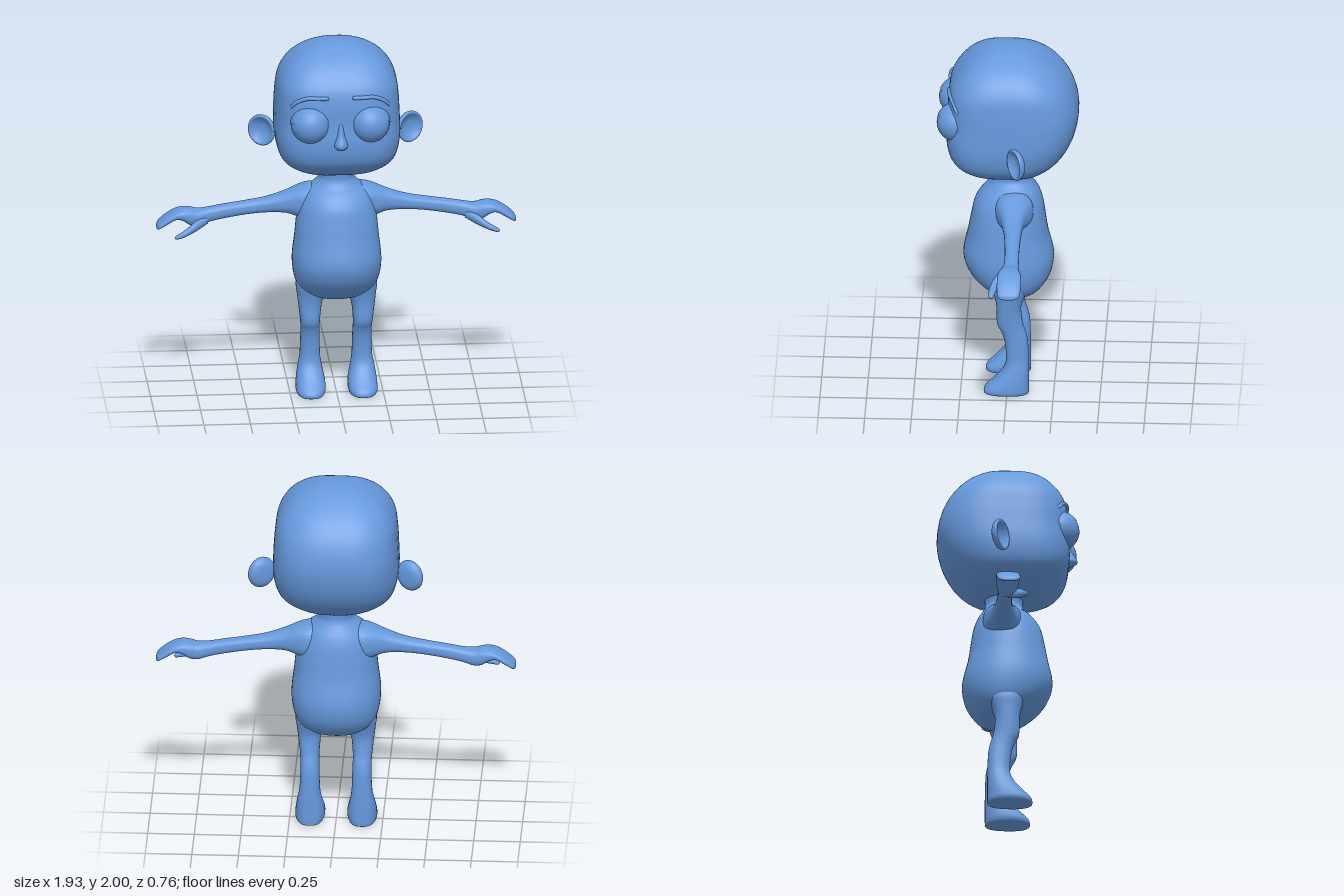
import * as THREE from 'three';

const skin = new THREE.MeshStandardMaterial({ color: 0x6699dd });
skin.name = 'blue skin';

// Catmull-Rom blend of four numbers
function blend(p0, p1, p2, p3, t) {
  return 0.5 * (2 * p1 + (p2 - p0) * t + (2 * p0 - 5 * p1 + 4 * p2 - p3) * t * t
    + (3 * p1 - p0 - 3 * p2 + p3) * t * t * t);
}

// Smooth skin through rows [t, a0, a1, b0, b1]: a superellipse spanning a0..a1 and b0..b1 at height t.
// axis 'y': t = y, a = x, b = z.  axis 'x': t = x, a = z, b = y.
function loft(rows, axis, nFront = 2.2, nBack = nFront, seg = 40, sub = 4) {
  const pos = [], index = [], rings = (rows.length - 1) * sub + 1;
  const row = i => rows[Math.max(0, Math.min(rows.length - 1, i))];
  for (let r = 0; r < rings; r++) {
    const i = Math.min(Math.floor(r / sub), rows.length - 2), f = r / sub - i;
    const [t, a0, a1, b0, b1] = rows[0].map((_, k) =>
      blend(row(i - 1)[k], row(i)[k], row(i + 1)[k], row(i + 2)[k], f));
    for (let s = 0; s < seg; s++) {
      const th = s / seg * Math.PI * 2, c = Math.cos(th), d = Math.sin(th);
      const e = 2 / (d >= 0 ? nFront : nBack);
      const a = (a0 + a1) / 2 + (a1 - a0) / 2 * Math.sign(c) * Math.abs(c) ** e;
      const b = (b0 + b1) / 2 + (b1 - b0) / 2 * Math.sign(d) * Math.abs(d) ** e;
      if (axis === 'y') pos.push(a, t, b); else pos.push(t, b, a);
      if (r < rings - 1) {
        const n = (s + 1) % seg, p = r * seg, q = p + seg;
        index.push(p + s, q + s, p + n, q + s, q + n, p + n);
      }
    }
  }
  const g = new THREE.BufferGeometry();
  g.setAttribute('position', new THREE.Float32BufferAttribute(pos, 3));
  g.setIndex(index);
  g.computeVertexNormals();
  return g;
}

// Mirrored copy across x = 0 with the corner order flipped back
function mirrored(geometry) {
  const g = geometry.clone().scale(-1, 1, 1), ix = g.index.array;
  for (let i = 0; i < ix.length; i += 3) [ix[i], ix[i + 1]] = [ix[i + 1], ix[i]];
  g.computeVertexNormals();
  return g;
}

export function createModel() {
  const model = new THREE.Group();
  model.name = 'bald cartoon child';
  const add = (name, geometry) => {
    const m = new THREE.Mesh(geometry, skin);
    m.name = name;
    model.add(m);
  };
  const pair = (name, geometry) => {
    add('left' + name, geometry);
    add('right' + name, mirrored(geometry));
  };
  // Sections symmetric in x: [y, half width, back z, front z]
  const sym = rows => rows.map(([y, w, b, f]) => [y, -w, w, b, f]);

  // Big rounded-box head
  add('head', loft(sym([
    [1.25, 0, -0.02, -0.02], [1.255, 0.08, -0.1, 0.07], [1.27, 0.14, -0.145, 0.13],
    [1.3, 0.22, -0.2, 0.205], [1.35, 0.29, -0.26, 0.275], [1.41, 0.322, -0.312, 0.315],
    [1.5, 0.337, -0.357, 0.33], [1.61, 0.335, -0.38, 0.322], [1.71, 0.329, -0.37, 0.32],
    [1.8, 0.315, -0.335, 0.302], [1.88, 0.272, -0.275, 0.25], [1.94, 0.205, -0.2, 0.185],
    [1.98, 0.12, -0.12, 0.11], [1.995, 0.055, -0.06, 0.05], [2, 0, -0.005, -0.005],
  ]), 'y', 3.4, 2.7, 64, 5));

  // Neck and pear-shaped torso
  add('torso', loft(sym([
    [0.53, 0, -0.03, -0.03], [0.537, 0.08, -0.09, 0.03], [0.555, 0.14, -0.145, 0.08],
    [0.6, 0.2, -0.192, 0.14], [0.67, 0.23, -0.232, 0.205], [0.77, 0.24, -0.245, 0.24],
    [0.9, 0.226, -0.215, 0.216], [1.0, 0.216, -0.2, 0.197], [1.08, 0.198, -0.187, 0.178],
    [1.14, 0.172, -0.166, 0.14], [1.18, 0.13, -0.142, 0.1], [1.21, 0.1, -0.126, 0.083],
    [1.24, 0.095, -0.122, 0.08], [1.3, 0.11, -0.13, 0.09],
  ]), 'y', 2.2, 2.2, 48));

  // Legs with flat feet
  pair('Leg', loft([
    [0.003, 0.14, 0.14, 0, 0], [0, 0.08, 0.2, -0.105, 0.11], [0.015, 0.064, 0.217, -0.116, 0.125],
    [0.04, 0.06, 0.219, -0.117, 0.112], [0.08, 0.063, 0.216, -0.117, 0.07],
    [0.14, 0.076, 0.206, -0.117, 0.022], [0.2, 0.085, 0.195, -0.116, 0.005],
    [0.3, 0.088, 0.191, -0.112, 0.013], [0.36, 0.09, 0.191, -0.1, 0.03],
    [0.41, 0.089, 0.195, -0.085, 0.054], [0.5, 0.08, 0.205, -0.075, 0.056],
    [0.56, 0.06, 0.212, -0.09, 0.065], [0.62, 0.04, 0.218, -0.11, 0.08], [0.7, 0.05, 0.2, -0.1, 0.08],
  ], 'y', 2.5));

  // Arms ending in mitten fingers that curl downward
  pair('Arm', loft([
    [0.06, -0.12, 0.06, 1.0, 1.175], [0.14, -0.14, 0.07, 0.98, 1.178], [0.2, -0.125, 0.055, 0.992, 1.164],
    [0.27, -0.1, 0.03, 1.015, 1.135], [0.37, -0.087, 0.01, 1.018, 1.102],
    [0.48, -0.083, 0, 1.008, 1.082], [0.6, -0.082, -0.005, 0.988, 1.064],
    [0.68, -0.085, -0.003, 0.97, 1.05], [0.74, -0.09, 0.012, 0.95, 1.043],
    [0.785, -0.097, 0.02, 0.956, 1.052], [0.82, -0.1, 0.025, 0.98, 1.052],
    [0.86, -0.103, 0.026, 0.992, 1.042], [0.91, -0.103, 0.025, 0.965, 1.014],
    [0.95, -0.097, 0.02, 0.942, 0.98], [0.963, -0.075, 0, 0.94, 0.963], [0.967, -0.04, -0.04, 0.948, 0.948],
  ], 'x', 2.5));
  pair('Thumb', loft([
    [0.69, -0.04, 0.0, 0.965, 1.01], [0.75, -0.02, 0.043, 0.937, 0.995], [0.8, 0.02, 0.065, 0.92, 0.962],
    [0.84, 0.037, 0.074, 0.908, 0.938], [0.866, 0.045, 0.073, 0.904, 0.924], [0.875, 0.06, 0.06, 0.912, 0.912],
  ], 'x', 2, 2, 20));

  // Cupped ears angled outward
  const cup = [[0, -0.03], [0.045, -0.028], [0.073, -0.014], [0.084, 0.004], [0.082, 0.016],
    [0.072, 0.018], [0.058, 0.006], [0.03, -0.008], [0, -0.01]].map(p => new THREE.Vector2(...p));
  const earProfile = new THREE.SplineCurve(cup).getPoints(28);
  earProfile[0].x = earProfile[28].x = 0;
  pair('Ear', new THREE.LatheGeometry(earProfile, 36).rotateX(Math.PI / 2)
    .scale(0.94, 1.03, 1).rotateY(Math.PI / 6).translate(0.395, 1.475, -0.06));

  // Bulging eyes under heavy lids
  pair('Eye', new THREE.SphereGeometry(0.104, 36, 24).translate(0.16, 1.61, 0.273));
  pair('Eyelid', new THREE.SphereGeometry(0.109, 36, 14, 0, Math.PI * 2, 0, Math.PI / 2)
    .rotateX(-0.45).translate(0.16, 1.61, 0.271));

  // Thin raised eyebrows
  pair('Eyebrow', loft([
    [0.063, 0.305, 0.305, 1.765, 1.765], [0.07, 0.29, 0.322, 1.755, 1.775], [0.13, 0.285, 0.322, 1.756, 1.776],
    [0.18, 0.275, 0.312, 1.753, 1.774], [0.23, 0.25, 0.292, 1.73, 1.754],
    [0.26, 0.235, 0.274, 1.7, 1.726], [0.268, 0.255, 0.255, 1.704, 1.704],
  ], 'x', 2.6, 2.6, 16));

  // Small pointed nose
  add('nose', loft(sym([
    [1.478, 0, 0.33, 0.33], [1.484, 0.024, 0.29, 0.357], [1.5, 0.036, 0.28, 0.374],
    [1.52, 0.033, 0.28, 0.37], [1.56, 0.022, 0.28, 0.346], [1.62, 0.012, 0.28, 0.326], [1.64, 0, 0.3, 0.3],
  ]), 'y', 1.8, 2, 24));

  return model;
}
